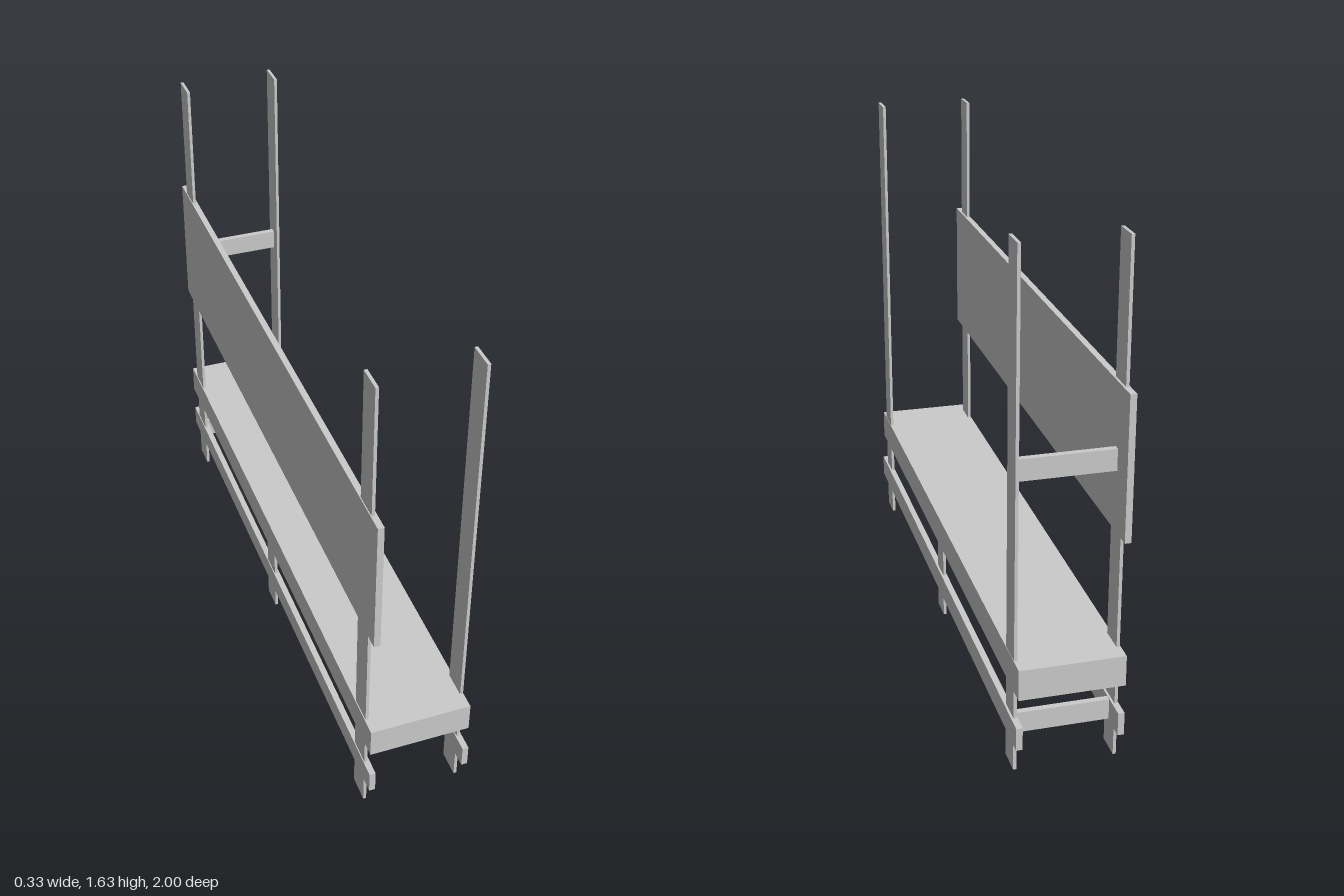
import * as THREE from 'three';

export function createModel() {
  const model = new THREE.Group();
  model.name = 'bench';
  const material = new THREE.MeshStandardMaterial({ color: 0xcccccc, flatShading: true });

  // Plank given by its extents along each axis
  function plank(name, [x0, x1], [y0, y1], [z0, z1]) {
    const mesh = new THREE.Mesh(new THREE.BoxGeometry(x1 - x0, y1 - y0, z1 - z0), material);
    mesh.position.set((x0 + x1) / 2, (y0 + y1) / 2, (z0 + z1) / 2);
    mesh.name = name;
    model.add(mesh);
  }

  const length = [-1, 1];
  const sides = [
    { name: 'back', post: [-0.164, -0.154], rail: [-0.167, -0.147] },
    { name: 'front', post: [0.15, 0.16], rail: [0.147, 0.167] },
  ];

  // Seat slab and backrest board
  plank('seat', [-0.167, 0.161], [0.275, 0.375], length);
  plank('backrest', [-0.167, -0.147], [0.745, 1.2], length);

  // Tall end posts, short middle legs and low rails along both long sides
  for (const { name, post, rail } of sides) {
    plank(name + 'PostLeft', post, [0, 1.635], [0.86, 0.945]);
    plank(name + 'PostRight', post, [0, 1.635], [-0.945, -0.86]);
    plank(name + 'MiddleLeg', post, [0.025, 0.285], [-0.04, 0.04]);
    plank(name + 'LowRail', rail, [0.105, 0.18], length);
  }

  // Cross bars at one end only
  plank('lowCrossBar', [-0.147, 0.147], [0.11, 0.178], [-0.917, -0.897]);
  plank('armCrossBar', [-0.147, 0.15], [0.935, 1.003], [-0.917, -0.897]);

  return model;
}
